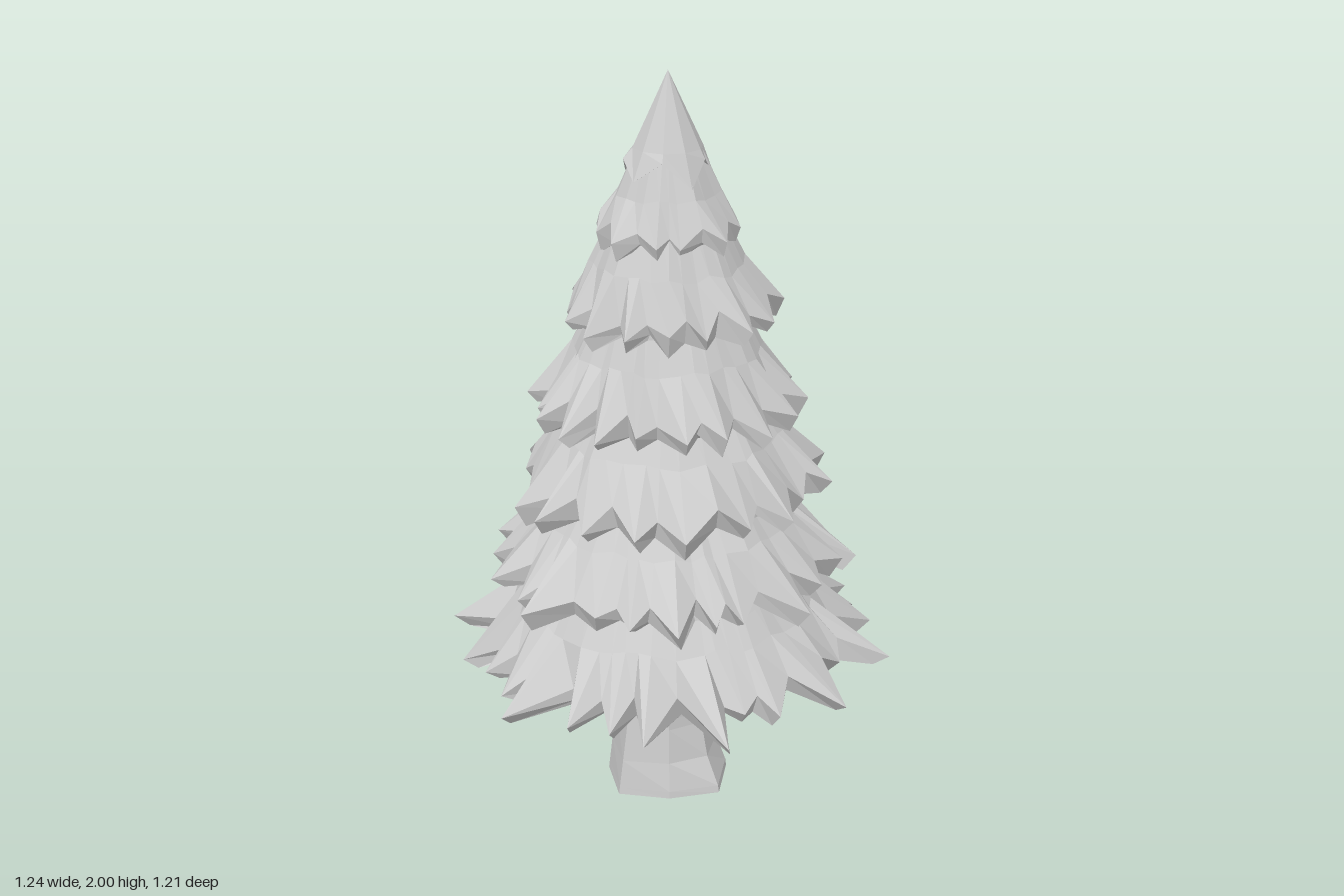
import * as THREE from 'three';

const material = new THREE.MeshStandardMaterial({ color: 0xcccccc, flatShading: true, side: THREE.DoubleSide });

// Small seeded generator for the ragged branch tips
function seeded(seed) {
  return () => {
    seed = (seed * 16807) % 2147483647;
    return seed / 2147483647;
  };
}

// Skin a list of closed rings (each an array of [x, y, z]) into one surface
function loft(rings, name) {
  const n = rings[0].length, index = [];
  for (let r = 0; r < rings.length - 1; r++) {
    for (let i = 0; i < n; i++) {
      const j = (i + 1) % n;
      const a = r * n + i, b = r * n + j, c = a + n, d = b + n;
      index.push(a, b, c, b, d, c);
    }
  }
  const geometry = new THREE.BufferGeometry();
  geometry.setAttribute('position', new THREE.Float32BufferAttribute(rings.flat(2), 3));
  geometry.setIndex(index);
  geometry.computeVertexNormals();
  const mesh = new THREE.Mesh(geometry, material);
  mesh.name = name;
  return mesh;
}

const polar = (a, r, y) => [r * Math.cos(a), y, r * Math.sin(a)];

// Radius of a polygon outline of mean radius 1, so the slopes show broad facets
function polygon(a, sides) {
  const step = (2 * Math.PI) / sides;
  const m = (((a % step) + step) % step) - step / 2;
  return (1.03 * Math.cos(step / 2)) / Math.cos(m);
}

// Long tips of the lowest tier as x, z pairs, going round from +x to +z
const lowTips = [
  [0.62, 0.01], [0.55, 0.19], [0.5, 0.26], [0.45, 0.36], [0.33, 0.52], [0.2, 0.45], [0.04, 0.6],
  [-0.13, 0.52], [-0.2, 0.46], [-0.34, 0.53], [-0.46, 0.35], [-0.48, 0.25], [-0.55, 0.17], [-0.62, 0],
  [-0.54, -0.09], [-0.48, -0.22], [-0.48, -0.31], [-0.34, -0.51], [-0.15, -0.52], [0.03, -0.61],
  [0.15, -0.48], [0.25, -0.48], [0.33, -0.4], [0.46, -0.37], [0.49, -0.24], [0.54, -0.1],
];

// Uneven tips for the other tiers, a little shallower front to back
function makeTips(count, reach, rand) {
  const tips = [];
  for (let i = 0; i < count; i++) {
    const main = i % Math.round(count / 4) === 0;
    const a = ((i + (rand() - 0.5) * (main ? 0.3 : 0.7)) / count) * Math.PI * 2;
    const r = reach * (main ? 0.98 : 0.8 + rand() * 0.18);
    tips.push([r * Math.cos(a), r * 0.95 * Math.sin(a)]);
  }
  return tips;
}

// One skirt of branches: slope, jagged rim of tips and notches, closed underside
function tier({ name, brim, top, reach, topRadius, shoulder, tips, sides, seed }) {
  const rand = seeded(seed);
  const list = Array.isArray(tips) ? tips : makeTips(tips, reach, rand);
  const rings = [[], [], [], [], [], []];
  const add = (a, r, y, lipRadius, lipY) => {
    const f = polygon(a + seed, sides);
    rings[0].push(polar(a, topRadius * f, top));
    rings[1].push(polar(a, shoulder * f, brim + (top - brim) * (0.44 + rand() * 0.06)));
    rings[2].push(polar(a, r, y));
    rings[3].push(polar(a + (rand() - 0.5) * 0.06, lipRadius, lipY));
    rings[4].push(polar(a, reach * 0.7, brim + 0.005));
    rings[5].push([0, brim + 0.02, 0]);
  };
  list.forEach(([x, z], i) => {
    const [nx, nz] = list[(i + 1) % list.length];
    const a = Math.atan2(z, x), r = Math.hypot(x, z);
    const gap = (Math.atan2(nz, nx) - a + Math.PI * 2) % (Math.PI * 2);
    add(a, r, brim + rand() * 0.03, r * 0.93, brim - 0.01 - rand() * 0.025);
    // Notch between two tips, folded up and inwards
    const notch = reach * (0.71 + rand() * 0.08);
    add(a + gap * (0.38 + rand() * 0.24), notch, brim + 0.035 + rand() * 0.04, notch * 0.96, brim + rand() * 0.025);
  });
  return loft(rings, name);
}

export function createModel() {
  const group = new THREE.Group();
  group.name = 'pineTree';

  // Trunk: eight sides, roots along the axes; front and left flare low, the rest tapers straight
  const trunkRings = [[0.45, 0], [0.2, 0.1], [0.1, 0.4], [0.02, 0.95], [0, 1], [0, 0]].map(([y, flare], k) => {
    const ring = [];
    for (let i = 0; i < 8; i++) {
      const a = (i / 8) * Math.PI * 2;
      const foot = i % 2 ? 0.168 : 0.198;
      const neck = i % 2 ? 0.118 : 0.122;
      const straight = THREE.MathUtils.lerp(foot, neck, y / 0.45);
      const curved = THREE.MathUtils.lerp(neck, foot, flare);
      const blend = THREE.MathUtils.clamp((Math.cos(a) + Math.sin(a)) * 0.8 + 0.5, 0, 1);
      ring.push(polar(a, k === 5 ? 0 : THREE.MathUtils.lerp(straight, curved, blend), y));
    }
    return ring;
  });
  group.add(loft(trunkRings, 'trunk'));

  // Six tiers of branches, widest at the bottom
  const tiers = [
    { brim: 0.42, top: 0.76, reach: 0.62, topRadius: 0.28, shoulder: 0.4, tips: lowTips, sides: 11 },
    { brim: 0.67, top: 1.0, reach: 0.55, topRadius: 0.22, shoulder: 0.34, tips: 24, sides: 10 },
    { brim: 0.9, top: 1.24, reach: 0.48, topRadius: 0.19, shoulder: 0.3, tips: 20, sides: 9 },
    { brim: 1.13, top: 1.47, reach: 0.405, topRadius: 0.16, shoulder: 0.25, tips: 20, sides: 9 },
    { brim: 1.37, top: 1.68, reach: 0.325, topRadius: 0.12, shoulder: 0.2, tips: 16, sides: 8 },
    { brim: 1.58, top: 1.83, reach: 0.22, topRadius: 0.075, shoulder: 0.135, tips: 12, sides: 7 },
  ];
  tiers.forEach((t, i) => group.add(tier({ ...t, name: `branchTier${i + 1}`, seed: 41 + i * 977 })));

  // Spire: a faceted cone whose ragged hem runs into the tier beneath
  const rand = seeded(77);
  const spire = [[], [], [], []];
  for (let i = 0; i < 10; i++) {
    const a = (i / 10) * Math.PI * 2;
    const long = i % 2;
    spire[0].push([0, 2, 0]);
    spire[1].push(polar(a, 0.09, 1.81));
    spire[2].push(polar(a, (long ? 0.118 : 0.102) + rand() * 0.012, (long ? 1.72 : 1.77) + rand() * 0.02));
    spire[3].push([0, 1.77, 0]);
  }
  group.add(loft(spire, 'spire'));

  return group;
}
